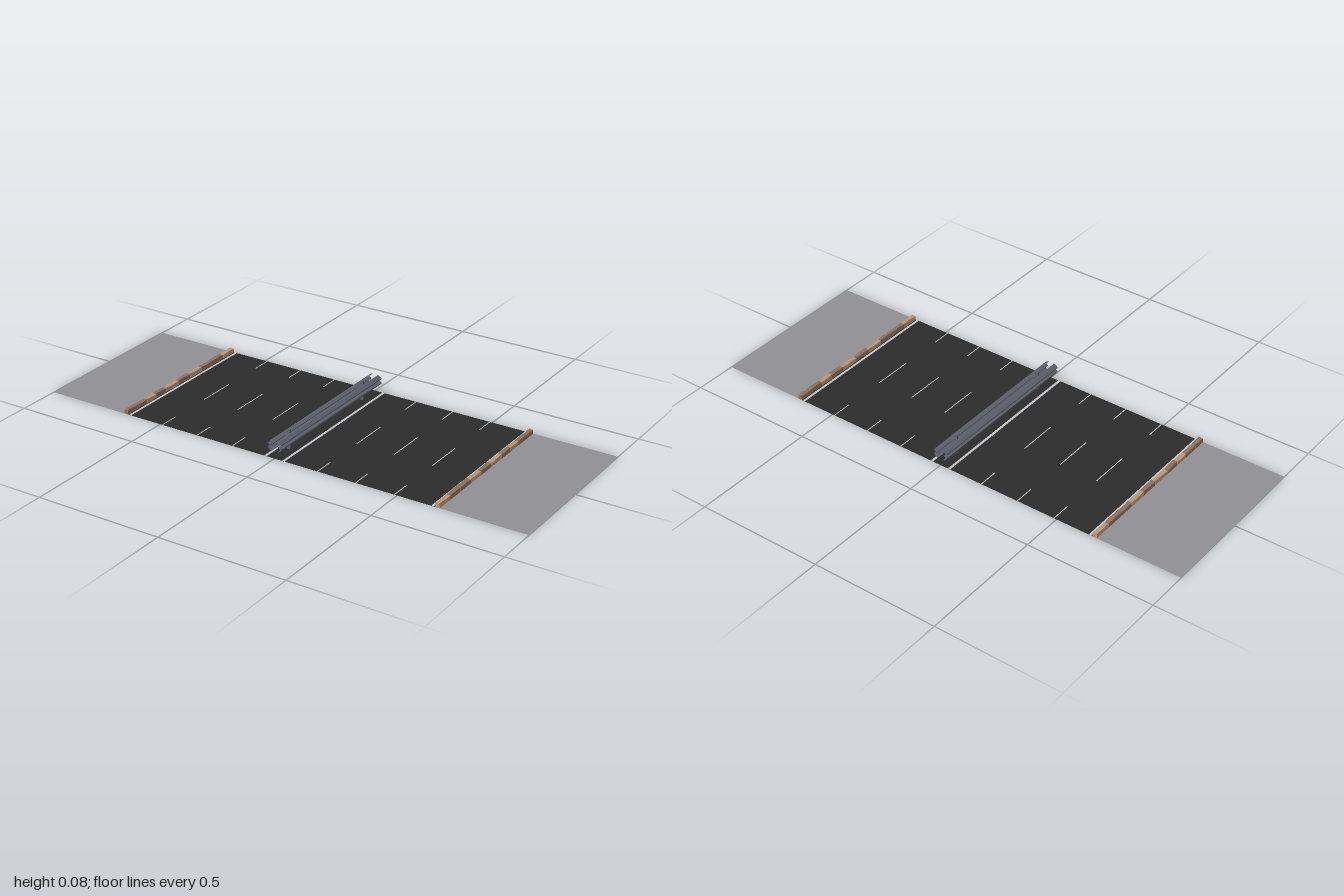
import * as THREE from 'three';

const LENGTH = 0.667;

export function createModel() {
  const model = new THREE.Group();
  const mat = (name, color, side = THREE.FrontSide) => {
    const m = new THREE.MeshStandardMaterial({ color, side, flatShading: true });
    m.name = name;
    return m;
  };
  const asphalt = mat('asphalt', 0x2b2b2b, THREE.DoubleSide);
  const pavement = mat('pavement', 0x8f8f94, THREE.DoubleSide);
  const paint = mat('road paint', 0xc4c4c8);
  const steel = mat('steel', 0x5d606b, THREE.DoubleSide);
  const lightStone = mat('light stone', 0xb99478);
  const darkStone = mat('dark stone', 0x8f6f5d);

  const add = (name, geometry, material, x = 0, y = 0, z = 0) => {
    const mesh = new THREE.Mesh(geometry, material);
    mesh.name = name;
    mesh.position.set(x, y, z);
    model.add(mesh);
    return mesh;
  };
  const sheet = (name, w, d, material, x, y, z) =>
    add(name, new THREE.PlaneGeometry(w, d).rotateX(-Math.PI / 2), material, x, y, z);

  let seed = 7;
  const random = () => {
    seed = (seed * 16807) % 2147483647;
    return seed / 2147483647;
  };

  // Ground sheets
  sheet('road', 1.3, LENGTH, asphalt, 0, 0, 0);
  for (const s of [-1, 1]) sheet('pavement', 0.35, LENGTH, pavement, s * 0.825, 0, 0);

  // Lane markings
  for (const s of [-1, 1]) {
    sheet('medianLine', 0.01, LENGTH, paint, s * 0.038, 0.0008, 0);
    sheet('edgeLine', 0.01, LENGTH, paint, s * 0.638, 0.0008, 0);
    for (const x of [0.18, 0.335, 0.49]) {
      sheet('laneDash', 0.004, 0.16, paint, s * x, 0.0008, 0);
      for (const e of [-1, 1]) sheet('laneDash', 0.004, 0.079, paint, s * x, 0.0008, e * 0.294);
    }
  }

  // Rough kerb stones, with uneven tops
  const joints = [0.333, 0.262, 0.195, 0.122, 0.048, -0.023, -0.1, -0.163, -0.22, -0.286, -0.333];
  const lightRow = [1, 0, 0, 1, 0, 1, 0, 1, 0, 0];
  for (const s of [-1, 1]) {
    for (let i = 0; i < joints.length - 1; i++) {
      const depth = joints[i] - joints[i + 1] - 0.001;
      const stone = new THREE.BoxGeometry(0.018, 0.016, depth, 1, 1, 3).translate(0, 0.008, 0);
      const p = stone.attributes.position;
      const shifts = new Map();
      for (let v = 0; v < p.count; v++) {
        if (p.getY(v) < 0.01) continue;
        const key = `${p.getX(v).toFixed(4)},${p.getZ(v).toFixed(4)}`;
        if (!shifts.has(key)) shifts.set(key, [random(), random()]);
        const [a, b] = shifts.get(key);
        p.setY(v, 0.0135 + a * 0.0045);
        p.setX(v, p.getX(v) * (0.75 + b * 0.25));
      }
      stone.computeVertexNormals();
      add('kerbStone', stone, lightRow[i] ? lightStone : darkStone,
        s * 0.657, 0, s * (joints[i] + joints[i + 1]) / 2);
    }
  }

  // Double-sided crash barrier with folded rails
  const profile = [
    [0.011, 0.067], [0.017, 0.066], [0.028, 0.058], [0.028, 0.054], [0.016, 0.049],
    [0.016, 0.046], [0.028, 0.041], [0.028, 0.036], [0.017, 0.028], [0.011, 0.027],
  ];
  for (const s of [-1, 1]) {
    const pos = [], idx = [];
    profile.forEach(([x, y], i) => {
      pos.push(s * x, y, -LENGTH / 2, s * x, y, LENGTH / 2);
      if (i === 0) return;
      const a = 2 * i - 2;
      if (s > 0) idx.push(a, a + 1, a + 3, a, a + 3, a + 2);
      else idx.push(a, a + 3, a + 1, a, a + 2, a + 3);
    });
    const rail = new THREE.BufferGeometry();
    rail.setAttribute('position', new THREE.Float32BufferAttribute(pos, 3));
    rail.setIndex(idx);
    rail.computeVertexNormals();
    add('barrierRail', rail, steel);

    // Posts and the spacers that carry the rails
    add('barrierPost', new THREE.BoxGeometry(0.012, 0.076, 0.006), steel, 0, 0.038, s * 0.242);
    add('railSpacer', new THREE.BoxGeometry(0.032, 0.012, 0.006), steel, 0, 0.0475, s * 0.242);
  }
  return model;
}
